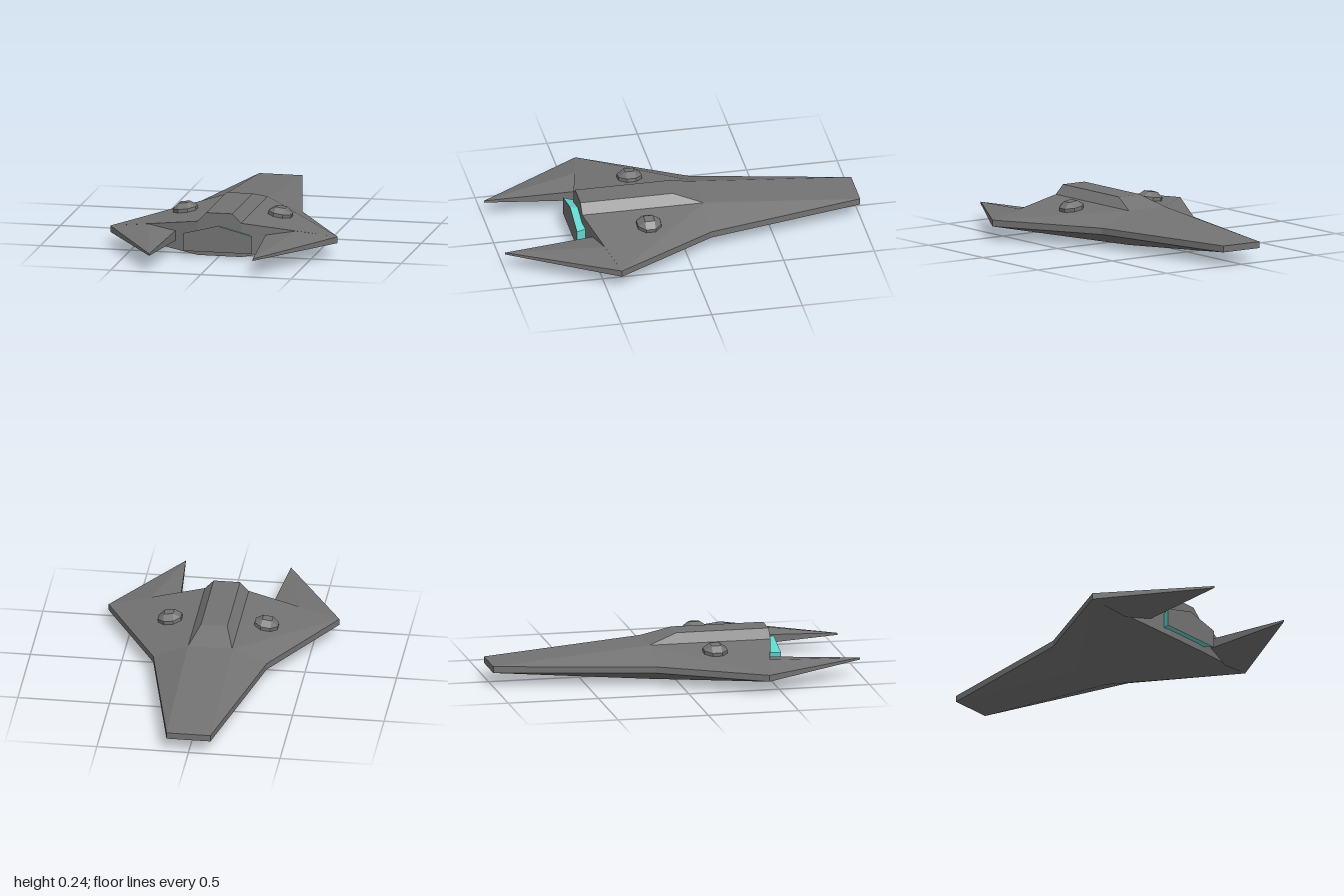
import * as THREE from 'three';
import { ConvexGeometry } from 'three/addons/geometries/ConvexGeometry.js';

const hullGrey = new THREE.MeshStandardMaterial({ color: 0x737373 });
hullGrey.name = 'hull grey';
const engineCyan = new THREE.MeshStandardMaterial({ color: 0x62d8d0 });
engineCyan.name = 'engine cyan';

const flip = ([x, y, z]) => [-x, y, z];
const mirrored = (faces) => faces.map((f) => f.map(flip));

// Flat-shaded mesh from polygons; each triangle is turned to face away from an inner point
function solid(name, faces, centre, material) {
  const c = new THREE.Vector3(...centre);
  const pos = [];
  for (const face of faces) {
    for (let i = 1; i < face.length - 1; i++) {
      const t = [face[0], face[i], face[i + 1]].map((p) => new THREE.Vector3(...p));
      const n = t[1].clone().sub(t[0]).cross(t[2].clone().sub(t[0]));
      if (n.dot(t[0].clone().sub(c)) < 0) t.reverse();
      t.forEach((v) => pos.push(v.x, v.y, v.z));
    }
  }
  const g = new THREE.BufferGeometry();
  g.setAttribute('position', new THREE.Float32BufferAttribute(pos, 3));
  g.computeVertexNormals();
  const mesh = new THREE.Mesh(g, material);
  mesh.name = name;
  return mesh;
}

export function createModel() {
  const model = new THREE.Group();
  model.name = 'spacecraft';
  const edgeTop = 0.115, edgeLow = 0.08, rear = 0.535;

  // Outline corners at the height of the thin outer edge
  const prow = (y) => [0.12, y, -1];
  const waist = (y) => [0.31, y, -0.14];
  const wingTip = (y) => [0.63, y, 0.42];

  // Hull: upper and lower skins, outer edge and rear wall
  const half = [], middle = [];
  for (const [edge, ridge] of [[edgeTop, 0.19], [edgeLow, 0.003]]) {
    const front = [0.12, ridge, -0.135], back = [0.12, ridge, rear];
    half.push([prow(edge), front, waist(edge)]);
    half.push([front, waist(edge), wingTip(edge)]);
    half.push([front, back, wingTip(edge)]);
    middle.push([prow(edge), flip(prow(edge)), flip(front), front]);
    middle.push([front, back, flip(back), flip(front)]);
  }
  for (const [a, b] of [[prow, waist], [waist, wingTip]]) {
    half.push([a(edgeLow), b(edgeLow), b(edgeTop), a(edgeTop)]);
  }
  half.push([[0.12, 0.003, rear], wingTip(edgeLow), wingTip(edgeTop), [0.12, 0.19, rear]]);
  middle.push([prow(edgeLow), prow(edgeTop), flip(prow(edgeTop)), flip(prow(edgeLow))]);
  middle.push([[0.12, 0.003, rear], [0.12, 0.19, rear], [-0.12, 0.19, rear], [-0.12, 0.003, rear]]);
  model.add(solid('hull', [...half, ...mirrored(half), ...middle], [0, 0.1, 0.1], hullGrey));

  // Raised spine with a sloping ramp
  const low0 = [0.12, 0.19, -0.135], low1 = [0.12, 0.19, rear];
  const high0 = [0.072, 0.24, 0.025], high1 = [0.072, 0.24, rear];
  const side = [[low0, low1, high1, high0]];
  model.add(solid('spine', [
    ...side, ...mirrored(side),
    [low0, high0, flip(high0), flip(low0)],
    [high0, high1, flip(high1), flip(high0)],
    [low1, high1, flip(high1), flip(low1)],
  ], [0, 0.2, 0.3], hullGrey));

  // Pointed prongs growing from the wing tips
  const tip = (y) => [0.287, y, 0.995];
  const inner = (y) => [0.25, y, 0.503];
  const prong = [
    [wingTip(edgeTop), wingTip(edgeLow), tip(0.092), tip(0.103)],
    [inner(0.125), inner(0.07), tip(0.092), tip(0.103)],
  ];
  for (const [edge, root, inn, end] of [[edgeTop, 0.147, 0.125, 0.103], [edgeLow, 0.036, 0.07, 0.092]]) {
    const crease = [0.41, root, 0.467];
    prong.push([wingTip(edge), crease, tip(end)], [crease, inner(inn), tip(end)]);
  }
  model.add(solid('leftProng', prong, [0.42, 0.0975, 0.55], hullGrey));
  model.add(solid('rightProng', mirrored(prong), [-0.42, 0.0975, 0.55], hullGrey));

  // Flared five-sided engine with a flat cover
  const outline = [[-0.19, 0.032], [0.19, 0.032], [0.19, 0.13], [0, 0.178], [-0.19, 0.13]];
  const ring = (s, z) => outline.map(([x, y]) => [x * s, 0.1 + (y - 0.1) * s, z]);
  const outer = ring(1, 0.578), base = ring(0.82, 0.515);
  const walls = outer.map((p, i) => {
    const j = (i + 1) % outer.length;
    return [p, outer[j], base[j], base[i]];
  });
  model.add(solid('engineRim', walls, [0, 0.1, 0.54], engineCyan));
  model.add(solid('engineCover', [outer], [0, 0.1, 0.5], hullGrey));

  // Faceted domes lying on the sloping wings
  const a = 0.026, r = 0.064, points = [];
  for (const sx of [-1, 1]) for (const sy of [-1, 1]) for (const sz of [-1, 1]) {
    points.push(
      new THREE.Vector3(sx * r, sy * 0.016, sz * a),
      new THREE.Vector3(sx * a, sy * 0.016, sz * r),
      new THREE.Vector3(sx * a, sy * 0.043, sz * a),
    );
  }
  const domeGeometry = new ConvexGeometry(points);
  for (const s of [1, -1]) {
    const dome = new THREE.Mesh(domeGeometry, hullGrey);
    dome.name = s > 0 ? 'leftDome' : 'rightDome';
    dome.position.set(s * 0.263, 0.172, 0.197);
    dome.rotation.z = -s * 0.146;
    model.add(dome);
  }
  return model;
}
